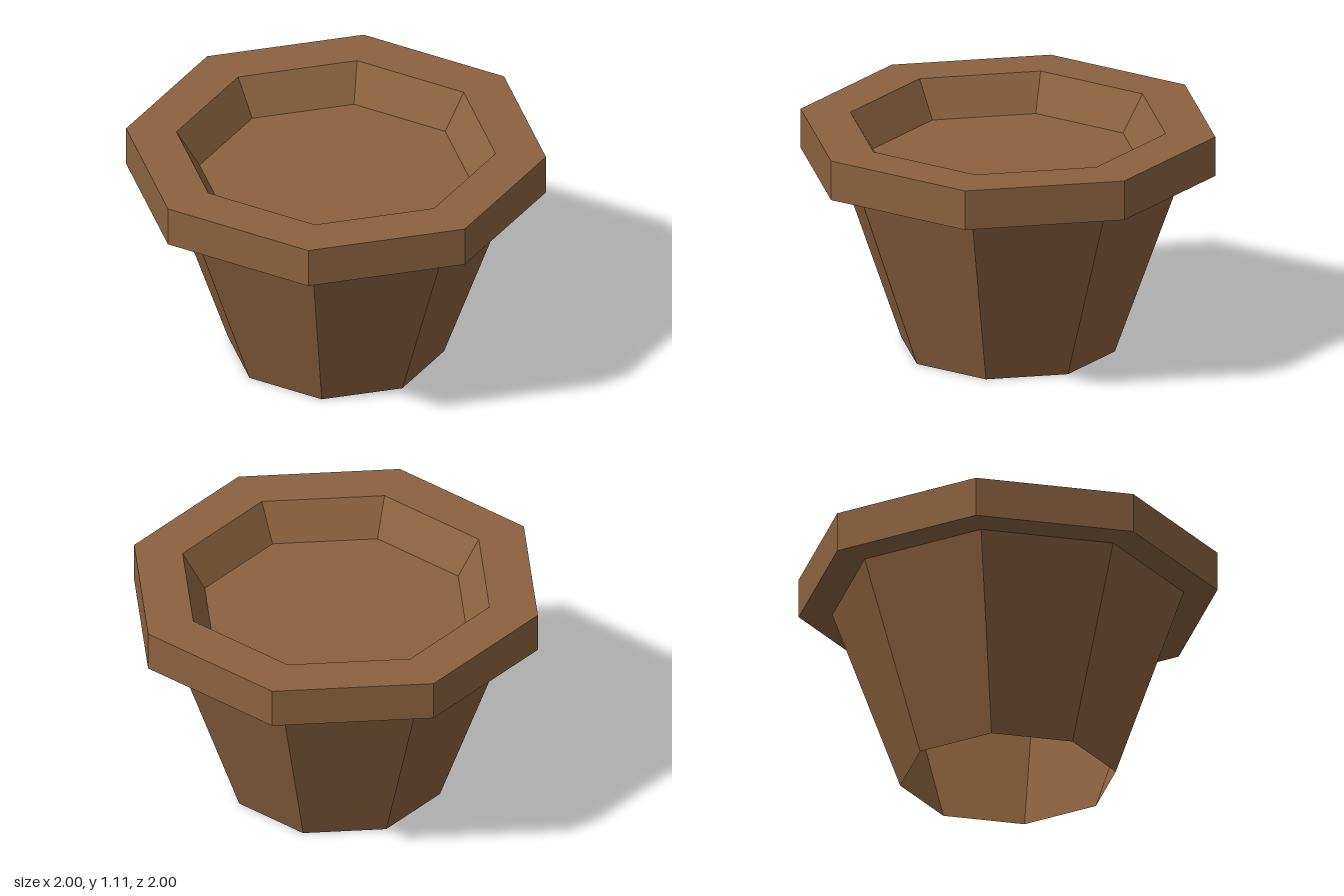
import * as THREE from 'three';

const SIDES = 8;

// Octagonal ring of flat faces swept from a [radius, height] profile
function ring(name, profile, material) {
  const points = profile.map(([r, y]) => new THREE.Vector2(r, y));
  const mesh = new THREE.Mesh(new THREE.LatheGeometry(points, SIDES), material);
  mesh.name = name;
  return mesh;
}

export function createModel() {
  const pot = new THREE.Group();
  pot.name = 'plantPot';

  const clay = new THREE.MeshStandardMaterial({
    name: 'brown clay', color: 0x8b623f, flatShading: true, side: THREE.DoubleSide,
  });

  // Tapered wall, open at the bottom
  pot.add(ring('body', [[0.515, 0], [0.84, 0.912]], clay));

  // Overhanging rim: underside, outer band, flat top and sloped inner wall
  pot.add(ring('rim', [[0.84, 0.912], [1, 0.912], [1, 1.107], [0.76, 1.107], [0.65, 0.932]], clay));

  // Flat soil surface closing the recess
  const soil = new THREE.Mesh(new THREE.CircleGeometry(0.65, SIDES).rotateX(-Math.PI / 2), clay);
  soil.name = 'soil';
  soil.position.y = 0.932;
  pot.add(soil);

  return pot;
}
